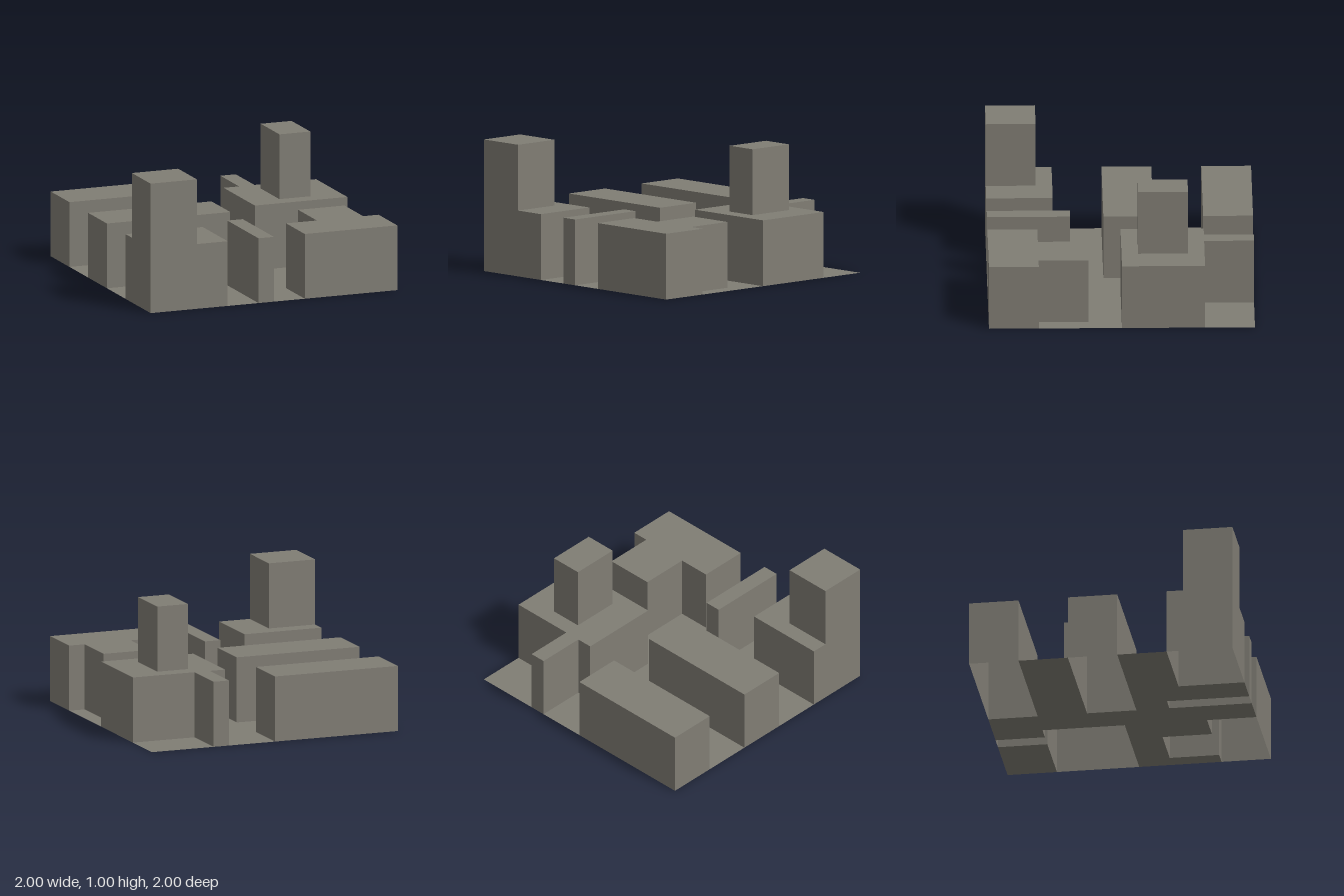
import * as THREE from 'three';

// Footprints and outlines are lists of [x, z] corners.
const rect = (x0, x1, z0, z1) => [[x0, z0], [x0, z1], [x1, z1], [x1, z0]];

// Shape plane is (x, -z), corners always counter-clockwise seen from above.
function toPlan(outline) {
  const pts = outline.map(([x, z]) => new THREE.Vector2(x, -z));
  return THREE.ShapeUtils.isClockWise(pts) ? pts.reverse() : pts;
}

// Flat horizontal face at height y, with optional openings
function slab(outline, y, openings = []) {
  const shape = new THREE.Shape(toPlan(outline));
  for (const o of openings) shape.holes.push(new THREE.Path(toPlan(o)));
  return new THREE.ShapeGeometry(shape).rotateX(-Math.PI / 2).translate(0, y, 0);
}

// Vertical faces around a footprint, from y0 to y1
function walls(outline, y0, y1) {
  const pts = toPlan(outline);
  const pos = [];
  pts.forEach((p, i) => {
    const q = pts[(i + 1) % pts.length];
    const a = [p.x, y0, -p.y], b = [q.x, y0, -q.y], c = [q.x, y1, -q.y], d = [p.x, y1, -p.y];
    pos.push(...a, ...b, ...c, ...a, ...c, ...d);
  });
  const g = new THREE.BufferGeometry();
  g.setAttribute('position', new THREE.Float32BufferAttribute(pos, 3));
  g.computeVertexNormals();
  return g;
}

export function createModel() {
  const model = new THREE.Group();
  model.name = 'cityBlock';
  const stone = new THREE.MeshStandardMaterial({ color: 0x807d74, side: THREE.DoubleSide });
  stone.name = 'warm grey';

  const add = (parent, name, geometry) => {
    const mesh = new THREE.Mesh(geometry, stone);
    mesh.name = name;
    parent.add(mesh);
  };

  // Hollow building, open below, with an optional tower rising from its roof
  function building(name, outline, tower) {
    const group = new THREE.Group();
    group.name = name;
    add(group, 'walls', walls(outline, 0, 0.5));
    if (tower) {
      add(group, 'towerWalls', walls(tower, 0.5, 1));
      add(group, 'towerRoof', slab(tower, 1));
    }
    return { group, roof: (roofOutline, openings) => {
      add(group, 'roof', slab(roofOutline, 0.5, openings));
      model.add(group);
    } };
  }
  const simple = (name, outline) => building(name, outline).roof(outline);

  // Plain buildings
  simple('backLongBuilding', rect(-1, 0, -1, -0.625));
  simple('middleLongBuilding', rect(-1, 0, -0.25, 0.125));
  simple('narrowBuilding', rect(-0.125, 0, 0.375, 1));
  simple('steppedBuilding', [[0.25, 1], [1, 1], [1, 0.625], [0.875, 0.625],
    [0.875, 0.25], [0.5, 0.25], [0.5, 0.625], [0.25, 0.625]]);

  // Corner building with a tower at its outer corner
  building('cornerBuilding', rect(-1, -0.375, 0.5, 1), rect(-1, -0.625, 0.625, 1))
    .roof([[-1, 0.625], [-0.625, 0.625], [-0.625, 1], [-0.375, 1], [-0.375, 0.5], [-1, 0.5]]);

  // Wide building with a narrow wing and a central tower
  const wide = [[0.25, 0], [1, 0], [1, -0.625], [0.5, -0.625], [0.5, -1],
    [0.375, -1], [0.375, -0.625], [0.25, -0.625]];
  const centralTower = rect(0.5, 0.75, -0.5, -0.125);
  building('wideBuilding', wide, centralTower).roof(wide, [centralTower]);

  // Streets between the buildings
  add(model, 'streets', slab([
    [0, -1], [0.375, -1], [0.375, -0.625], [0.25, -0.625], [0.25, 0], [1, 0],
    [1, 0.625], [0.875, 0.625], [0.875, 0.25], [0.5, 0.25], [0.5, 0.625], [0.25, 0.625],
    [0.25, 1], [0, 1], [0, 0.375], [-0.125, 0.375], [-0.125, 1], [-0.375, 1],
    [-0.375, 0.5], [-1, 0.5], [-1, 0.125], [0, 0.125], [0, -0.25], [-1, -0.25],
    [-1, -0.625], [0, -0.625]], 0));
  add(model, 'cornerYard', slab(rect(0.5, 1, -1, -0.625), 0));

  return model;
}
